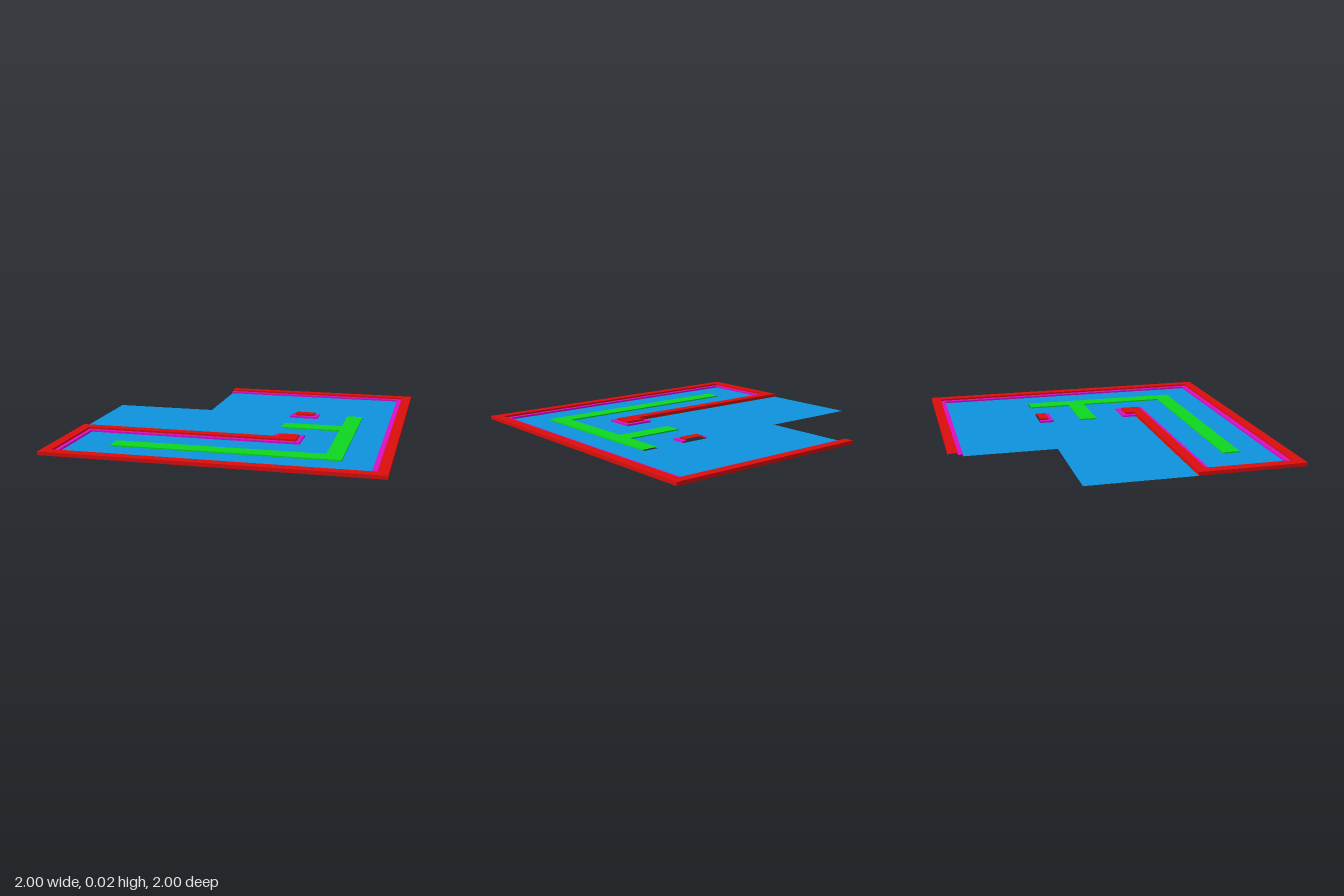
import * as THREE from 'three';
import { mergeGeometries } from 'three/addons/utils/BufferGeometryUtils.js';

const PATH_Y = 0.008, LEDGE_Y = 0.011, WALL_Y = 0.022;

const paint = (color) => new THREE.MeshStandardMaterial({ color, side: THREE.DoubleSide });
const toVectors = (points) => points.map(([x, z]) => new THREE.Vector2(x, -z));

// Flat upward-facing sheet from an [x, z] outline
function sheet(outline, y, holes = []) {
  const shape = new THREE.Shape(toVectors(outline));
  for (const hole of holes) shape.holes.push(new THREE.Path(toVectors(hole)));
  const geometry = new THREE.ShapeGeometry(shape).rotateX(-Math.PI / 2).translate(0, y, 0);
  geometry.deleteAttribute('uv');
  return geometry.toNonIndexed();
}

// Upright strip that follows an [x, z] line from height low to height high
function riser(line, low, high) {
  const positions = [];
  for (let i = 0; i + 1 < line.length; i++) {
    const [ax, az] = line[i], [bx, bz] = line[i + 1];
    positions.push(ax, low, az, bx, low, bz, bx, high, bz);
    positions.push(ax, low, az, bx, high, bz, ax, high, az);
  }
  const geometry = new THREE.BufferGeometry();
  geometry.setAttribute('position', new THREE.Float32BufferAttribute(positions, 3));
  geometry.computeVertexNormals();
  return geometry;
}

export function createModel() {
  const model = new THREE.Group();
  const add = (name, material, ...geometries) => {
    const mesh = new THREE.Mesh(mergeGeometries(geometries), material);
    mesh.name = name;
    model.add(mesh);
  };
  const blue = paint(0x0d93de), green = paint(0x0fd81f);
  const magenta = paint(0xd80fc8), red = paint(0xdc0d0d);

  // Lines that bound the stepped border: floor edge, wall foot and outer face
  const floorEdge = [
    [-0.334, -0.91], [0.905, -0.91], [0.905, 0.905], [-0.91, 0.905], [-0.91, 0.425],
    [0.425, 0.425], [0.425, 0.24], [0.24, 0.24], [0.24, 0.334],
  ];
  const wallFoot = [
    [-0.334, -0.94], [0.937, -0.94], [0.937, 0.937], [-0.937, 0.937], [-0.937, 0.397],
    [0.397, 0.397], [0.397, 0.27], [0.27, 0.27], [0.27, 0.334],
  ];
  const outerFace = [[0.27, 0.334], [-1, 0.334], [-1, 1], [1, 1], [1, -1], [-0.334, -1]];

  // Branching raised path and small post, both open on their back ends
  const path = [
    [0.615, -0.334], [0.615, -0.057], [0.24, -0.057], [0.24, 0.053], [0.615, 0.053],
    [0.615, 0.612], [-0.668, 0.612], [-0.668, 0.718], [0.718, 0.718], [0.718, -0.334],
  ];
  const postEdge = [[0.24, -0.334], [0.24, -0.243], [0.425, -0.243], [0.425, -0.334]];
  const postFoot = [[0.27, -0.334], [0.27, -0.272], [0.397, -0.272], [0.397, -0.334]];

  // Floor, cut out under the path and post
  const floorOutline = [...floorEdge, [-1, 0.334], [-1, -0.334], [-0.334, -0.334]];
  add('floor', blue, sheet(floorOutline, 0, [path, postEdge]));

  add('path', green, sheet(path, PATH_Y), riser(path, 0, PATH_Y));

  // Ledges and walls of the border and of the post
  for (const [name, edge, foot] of [['border', floorEdge, wallFoot], ['post', postEdge, postFoot]]) {
    add(name + 'Ledge', magenta,
      sheet([...edge, ...foot.slice().reverse()], LEDGE_Y),
      riser(edge, 0, LEDGE_Y));
  }
  add('borderWall', red,
    sheet([...wallFoot, ...outerFace.slice(1)], WALL_Y),
    riser(wallFoot, LEDGE_Y, WALL_Y),
    riser(outerFace, 0, WALL_Y));
  add('postTop', red, sheet(postFoot, WALL_Y), riser(postFoot, LEDGE_Y, WALL_Y));

  return model;
}
